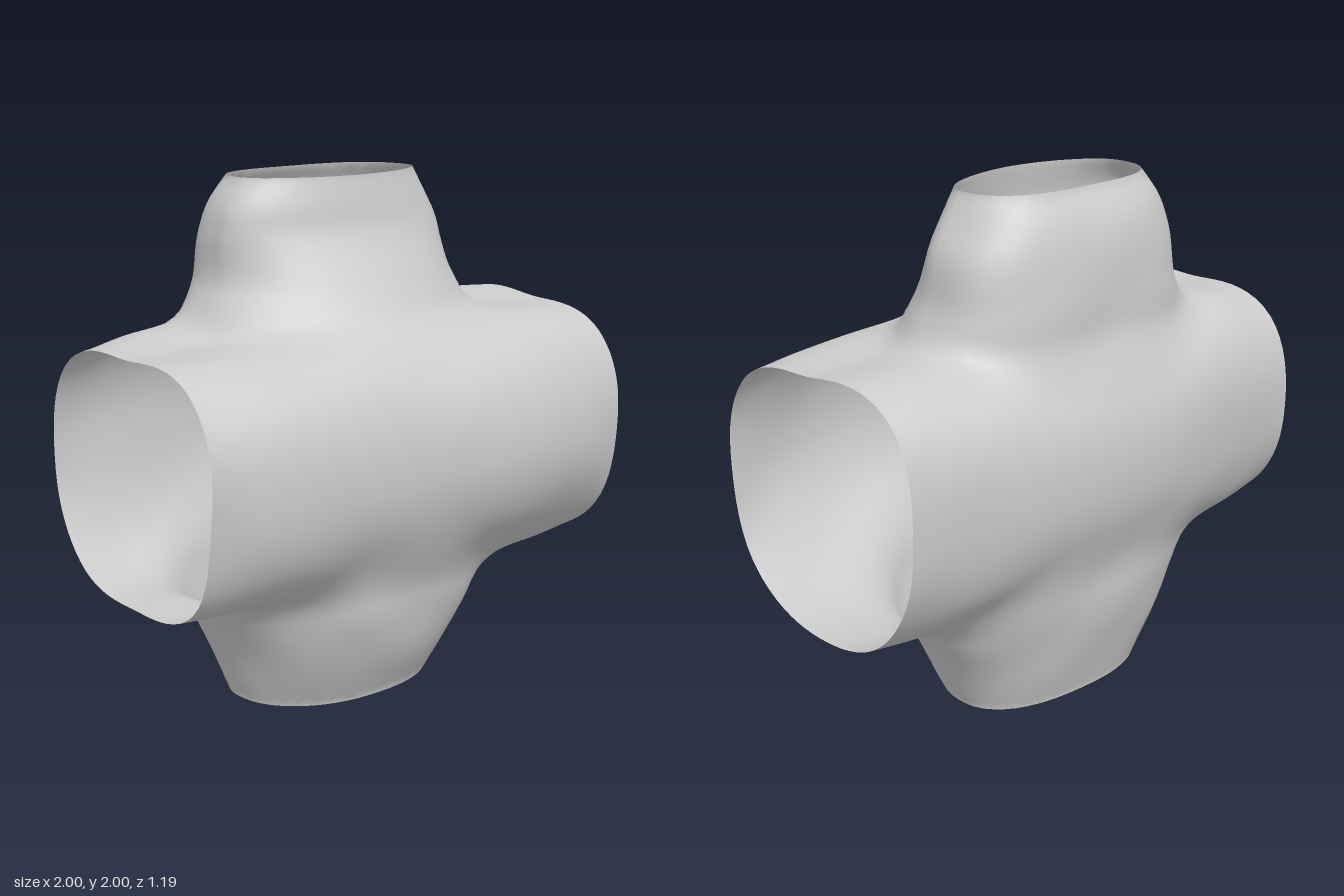
import * as THREE from 'three';
import { mergeVertices } from 'three/addons/utils/BufferGeometryUtils.js';

// Sections of the wide cross tube: x, then eight radii about its axis,
// starting at the front and turning upwards in steps of 45 degrees
const TUBE_Y = 0.95;
const TUBE = sections([
  [-1, 0.49, 0.56, 0.47, 0.56, 0.51, 0.5, 0.44, 0.51],
  [-0.75, 0.54, 0.57, 0.48, 0.61, 0.53, 0.53, 0.45, 0.53],
  [-0.2, 0.55, 0.59, 0.5, 0.63, 0.59, 0.57, 0.5, 0.54],
  [0.48, 0.59, 0.6, 0.5, 0.63, 0.59, 0.58, 0.53, 0.54],
  [0.75, 0.55, 0.57, 0.49, 0.62, 0.56, 0.57, 0.54, 0.53],
  [1, 0.49, 0.54, 0.48, 0.6, 0.54, 0.55, 0.51, 0.51],
]);
// Sections of the upright necks: y, then x min/max, z min/max
const NECK_Z = -0.12;
const NECK = sections([
  [0, -0.46, 0.41, -0.35, 0.21], [0.2, -0.54, 0.5, -0.42, 0.32],
  [0.35, -0.61, 0.59, -0.46, 0.37], [0.48, -0.67, 0.66, -0.48, 0.39],
  [0.65, -0.6, 0.6, -0.48, 0.4], [1, -0.5, 0.5, -0.45, 0.4],
  [1.35, -0.55, 0.55, -0.48, 0.36], [1.5, -0.59, 0.6, -0.47, 0.29],
  [1.62, -0.53, 0.56, -0.47, 0.22], [1.8, -0.51, 0.52, -0.45, 0.12],
  [1.9, -0.48, 0.46, -0.42, 0.1], [2, -0.41, 0.4, -0.36, 0.08],
]);

// Smooth change from one section to the next
function sections(rows) {
  return new THREE.CubicInterpolant(rows.map((r) => r[0]), rows.flatMap((r) => r.slice(1)), rows[0].length - 1);
}

// Distance to the tube: radius minus a smooth closed curve through the eight radii
function tubeField(x, y, z) {
  const radii = TUBE.evaluate(x);
  const turn = (Math.atan2(y - TUBE_Y, z) / (Math.PI / 4) + 8) % 8;
  const i = Math.floor(turn), t = turn - i;
  const [a, b, c, d] = [7, 0, 1, 2].map((o) => radii[(i + o) % 8]);
  const radius = b + 0.5 * t * (c - a + t * (2 * a - 5 * b + 4 * c - d + t * (3 * (b - c) + d - a)));
  return Math.hypot(y - TUBE_Y, z) - radius;
}

// Distance to the necks: the upper one is rounded at the front and flatter across the back
function neckField(x, y, z) {
  const [x0, x1, z0, z1] = NECK.evaluate(y);
  const p = Math.abs(x - (x0 + x1) / 2) / ((x1 - x0) / 2);
  const front = z > NECK_Z;
  const q = (z - NECK_Z) / ((front ? z1 : z0) - NECK_Z);
  const upper = THREE.MathUtils.smoothstep(y, 0.3, 1.5);
  const n = front ? 2.25 - 0.4 * upper : 2.3 + 0.5 * upper;
  return ((p ** n + q ** n) ** (1 / n) - 1) * 0.38;
}

// Tube and necks blended together, with slight hand-made unevenness
function field(x, y, z) {
  const a = tubeField(x, y, z), b = neckField(x, y, z);
  const k = 0.1, h = Math.max(k - Math.abs(a - b), 0) / k;
  const lumps = 0.005 * Math.sin(9 * x + 2 * z) * Math.sin(13 * y + 3 * x) * Math.cos(8 * z);
  return Math.min(a, b) - (h * h * k) / 4 + lumps;
}

function gradient(p) {
  const e = 0.02, { x, y, z } = p;
  return new THREE.Vector3(
    field(x + e, y, z) - field(x - e, y, z),
    field(x, y + e, z) - field(x, y - e, z),
    field(x, y, z + e) - field(x, y, z - e)).normalize();
}

// Skin of the field, cut open at the ends of the tube and necks
function skinGeometry() {
  const N = 48, NZ = 36, DEPTH = 0.75;
  const points = [];
  for (let i = 0; i <= N; i++) for (let j = 0; j <= N; j++) for (let k = 0; k <= NZ; k++) {
    const p = new THREE.Vector3(-1 + (2 * i) / N, (2 * j) / N, -DEPTH + (2 * DEPTH * k) / NZ);
    points.push({ p, f: field(p.x, p.y, p.z) || 1e-6 });
  }
  const step = [(N + 1) * (NZ + 1), NZ + 1, 1];
  const orders = [[0, 1, 2], [0, 2, 1], [1, 0, 2], [1, 2, 0], [2, 0, 1], [2, 1, 0]];
  const position = [], normal = [];

  const cross = (a, b) => a.p.clone().lerp(b.p, a.f / (a.f - b.f));
  const triangle = (a, b, c) => {
    const face = b.clone().sub(a).cross(c.clone().sub(a));
    if (face.lengthSq() < 1e-16) return;
    const normals = [a, b, c].map(gradient);
    const out = normals[0].clone().add(normals[1]).add(normals[2]);
    const flip = face.dot(out) < 0;
    for (const i of flip ? [0, 2, 1] : [0, 1, 2]) {
      position.push(...[a, b, c][i].toArray());
      normal.push(...normals[i].toArray());
    }
  };

  for (let i = 0; i < N; i++) for (let j = 0; j < N; j++) for (let k = 0; k < NZ; k++) {
    const base = i * step[0] + j * step[1] + k;
    // Six tetrahedra per cell, each a path along its edges to the far corner
    for (const order of orders) {
      let at = base;
      const tet = [points[at], ...order.map((o) => points[(at += step[o])])];
      const inside = tet.filter((c) => c.f < 0), outside = tet.filter((c) => c.f >= 0);
      if (inside.length === 2) {
        const [a, b] = inside, [c, d] = outside;
        const ac = cross(a, c), ad = cross(a, d), bc = cross(b, c), bd = cross(b, d);
        triangle(ac, ad, bd);
        triangle(ac, bd, bc);
      } else if (inside.length === 1) {
        triangle(...outside.map((c) => cross(inside[0], c)));
      } else if (inside.length === 3) {
        triangle(...inside.map((c) => cross(c, outside[0])));
      }
    }
  }
  const geometry = new THREE.BufferGeometry();
  geometry.setAttribute('position', new THREE.Float32BufferAttribute(position, 3));
  geometry.setAttribute('normal', new THREE.Float32BufferAttribute(normal, 3));
  return mergeVertices(geometry, 1e-5);
}

export function createModel() {
  const group = new THREE.Group();
  group.name = 'pipeJunction';
  const material = new THREE.MeshStandardMaterial({ color: 0xcccccc, side: THREE.DoubleSide });
  const skin = new THREE.Mesh(skinGeometry(), material);
  skin.name = 'junctionShell';
  group.add(skin);
  return group;
}
